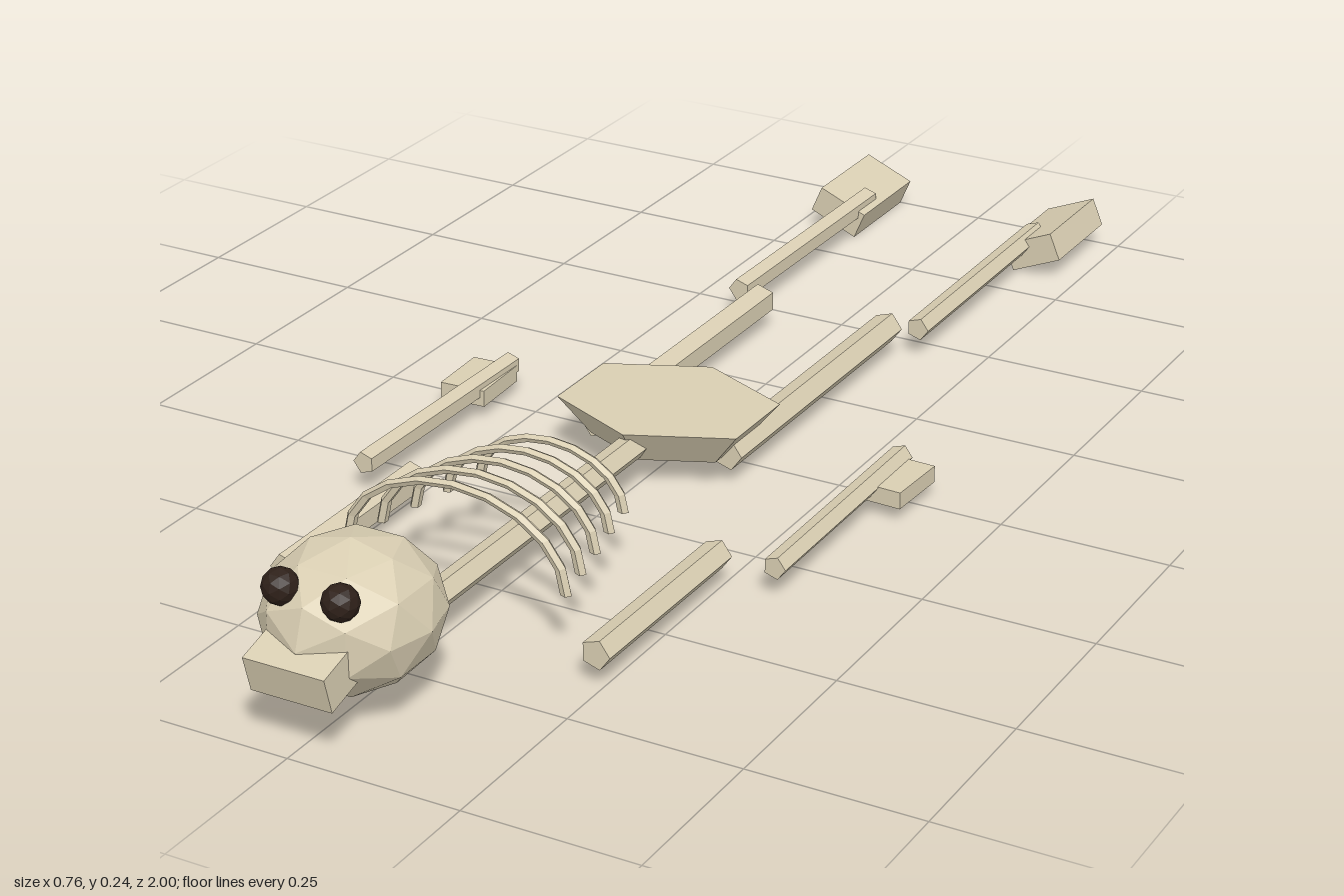
import * as THREE from 'three';

export function createModel() {
  const model = new THREE.Group();
  model.name = 'lyingSkeleton';

  const bone = new THREE.MeshStandardMaterial({ color: 0xd9ceb2, flatShading: true });
  bone.name = 'bone';
  const dark = new THREE.MeshStandardMaterial({ color: 0x2e2019, flatShading: true });
  dark.name = 'dark eye socket';

  function add(name, geometry, x, y, z, material = bone) {
    const mesh = new THREE.Mesh(geometry, material);
    mesh.name = name;
    mesh.position.set(x, y, z);
    model.add(mesh);
    return mesh;
  }

  // Five-sided bone running between two z positions, one edge facing sideways
  function longBone(name, side, x0, x1, y, z0, z1, radius) {
    const dx = x1 - x0, dz = z1 - z0;
    const geometry = new THREE.CylinderGeometry(radius, radius, Math.hypot(dx, dz), 5);
    geometry.rotateY(side * Math.PI / 2).rotateX(Math.PI / 2).rotateY(Math.atan(dx / dz) * side);
    return add(name, geometry, side * (x0 + x1) / 2, y, (z0 + z1) / 2);
  }

  // Skull and tilted jaw
  add('skull', new THREE.IcosahedronGeometry(1, 1), 0, 0.136, 0.845).scale.set(0.116, 0.102, 0.128);
  add('jaw', new THREE.BoxGeometry(0.12, 0.054, 0.08), 0, 0.112, 0.954).rotation.x = 0.27;

  // Spine
  longBone('spine', 1, 0, 0, 0.068, 0.73, 0.02, 0.021);

  // Pelvis: six-sided slab narrowing downwards
  add('pelvis', new THREE.CylinderGeometry(1, 0.7, 0.055, 6), 0, 0.07, 0.047).scale.set(0.167, 1, 0.13);

  // Ribs: flattened half rings shrinking towards the pelvis
  for (let i = 0; i < 5; i++) {
    const rib = new THREE.TorusGeometry(0.167 - i * 0.0135, 0.008, 5, 10, Math.PI);
    add('rib' + (i + 1), rib, 0, 0.091, 0.61 - i * 0.06).scale.y = 0.7;
  }

  // Paired parts
  for (const s of [-1, 1]) {
    const side = s > 0 ? 'left' : 'right';
    add(side + 'EyeSocket', new THREE.IcosahedronGeometry(0.025, 1), s * 0.044, 0.2, 0.935, dark);

    longBone(side + 'UpperArm', s, 0.238, 0.24, 0.047, 0.66, 0.34, 0.022);
    longBone(side + 'Forearm', s, 0.325, 0.322, 0.046, 0.34, -0.05, 0.017);
    const hand = add(side + 'Hand', new THREE.BoxGeometry(0.072, 0.025, 0.1), s * 0.341, 0.035, 0.01);
    hand.rotation.y = s * -0.05;

    longBone(side + 'Thigh', s, 0.107, 0.108, 0.047, 0.07, -0.44, 0.024);
    longBone(side + 'Shin', s, 0.153, 0.15, 0.048, -0.45, -0.89, 0.018);
    const foot = add(side + 'Foot', new THREE.BoxGeometry(0.085, 0.045, 0.172), s * 0.173, 0.04, -0.913);
    foot.rotation.z = s * 0.4;
  }

  return model;
}
